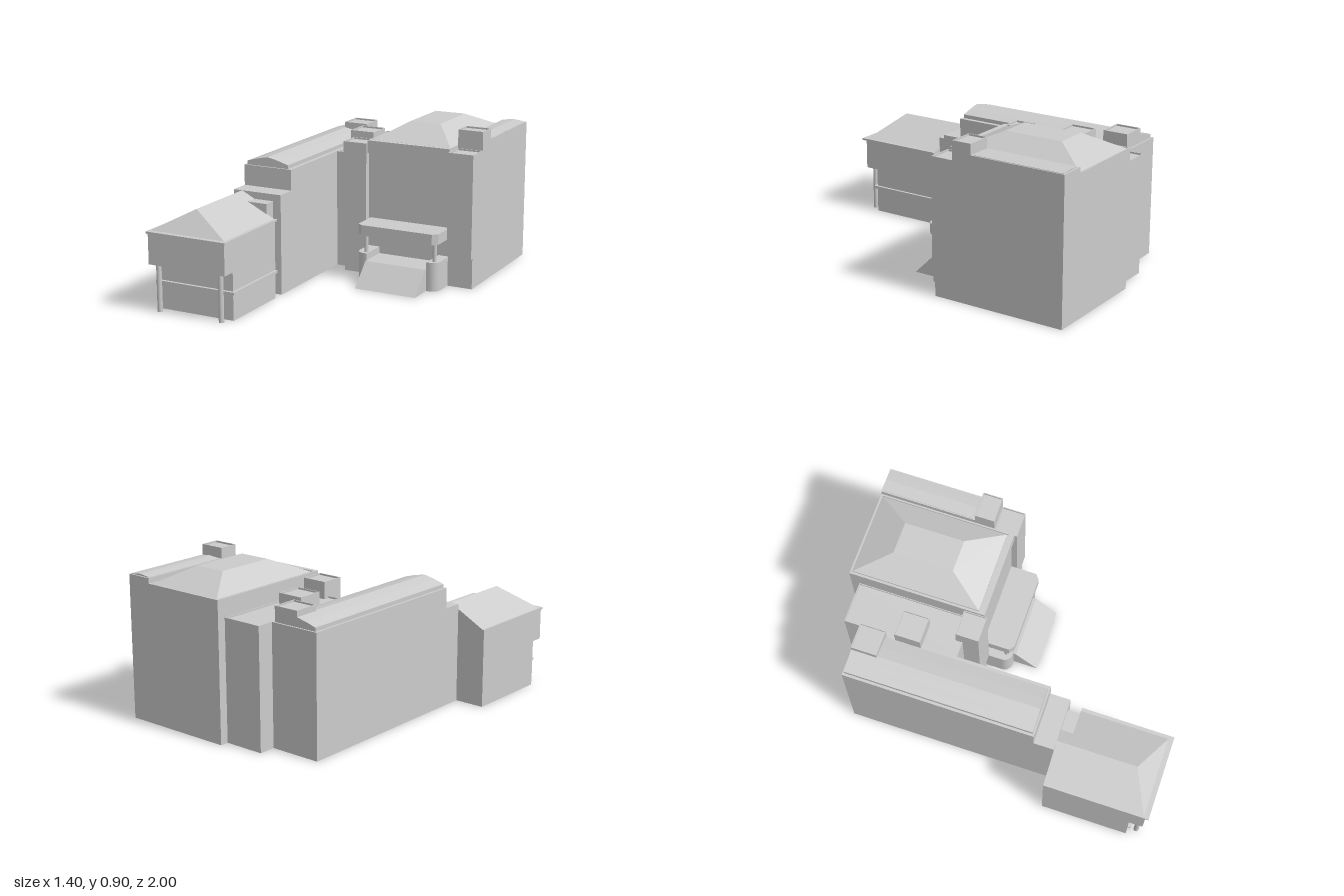
import * as THREE from 'three';
import { ConvexGeometry } from 'three/addons/geometries/ConvexGeometry.js';

const material = new THREE.MeshStandardMaterial({ color: 0xcccccc, flatShading: true, side: THREE.DoubleSide });
const smooth = new THREE.MeshStandardMaterial({ color: 0xcccccc });

// Leave out the horizontal faces lying at the given heights
function openAt(geometry, heights) {
  const source = geometry.index ? geometry.toNonIndexed() : geometry;
  const p = source.attributes.position;
  const kept = [];
  for (let i = 0; i < p.count; i += 3) {
    const corners = [i, i + 1, i + 2];
    const dropped = heights.some((h) => corners.every((c) => Math.abs(p.getY(c) - h) < 1e-4));
    if (!dropped) for (const c of corners) kept.push(p.getX(c), p.getY(c), p.getZ(c));
  }
  const result = new THREE.BufferGeometry();
  result.setAttribute('position', new THREE.Float32BufferAttribute(kept, 3));
  result.computeVertexNormals();
  return result;
}

const rect = (x0, x1, z0, z1) => [[x0, z0], [x1, z0], [x1, z1], [x0, z1]];

export function createModel() {
  const model = new THREE.Group();

  function add(name, geometry, mat = material) {
    const mesh = new THREE.Mesh(geometry, mat);
    mesh.name = name;
    model.add(mesh);
  }

  // Box given by its limits on each axis
  function block(name, x0, x1, y0, y1, z0, z1, open = []) {
    const g = new THREE.BoxGeometry(x1 - x0, y1 - y0, z1 - z0);
    g.translate((x0 + x1) / 2, (y0 + y1) / 2, (z0 + z1) / 2);
    add(name, openAt(g, open));
  }

  // Solid hull around a few corner points
  function hull(name, points, open = []) {
    add(name, openAt(new ConvexGeometry(points.map((p) => new THREE.Vector3(...p))), open));
  }

  // Footprint of [x, z] points raised from y0 to y1
  function raise(name, points, y0, y1, open = [], hole = null) {
    const toV = ([x, z]) => new THREE.Vector2(x, -z);
    const shape = new THREE.Shape(points.map(toV));
    if (hole) shape.holes.push(new THREE.Path(hole.map(toV)));
    const g = new THREE.ExtrudeGeometry(shape, { depth: y1 - y0, bevelEnabled: false });
    g.rotateX(-Math.PI / 2);
    g.translate(0, y0, 0);
    add(name, openAt(g, open));
  }

  // Open-bottomed block with a thin raised rim around its flat roof
  function rimmed(name, x0, x1, y0, y1, z0, z1, w = 0.005) {
    const h = 0.01;
    block(name, x0, x1, y0, y1 - h, z0, z1, [y0]);
    raise(name + 'Rim', rect(x0, x1, z0, z1), y1 - h, y1, [y1 - h],
      rect(x0 + w, x1 - w, z0 + w, z1 - w));
  }

  // Shallow roof running along z, two straight slopes with a slight break
  function vault(name, x0, x1, base, spring, crown, z0, z1) {
    const at = (t) => x0 + (x1 - x0) * t;
    const mid = spring + (crown - spring) * 0.58;
    const shape = new THREE.Shape();
    shape.moveTo(at(0), base);
    for (const [t, y] of [[1, base], [1, spring], [0.75, mid], [0.5, crown], [0.25, mid], [0, spring]]) {
      shape.lineTo(at(t), y);
    }
    const g = new THREE.ExtrudeGeometry(shape, { depth: z1 - z0, bevelEnabled: false });
    g.translate(0, 0, z0);
    add(name, openAt(g, [base]));
  }

  // Outer walls shared by hall, link and long wing, hollow and open below
  const wallTop = 0.58;
  raise('outerWalls', [
    [-0.52, -0.85], [-0.215, -0.85], [-0.215, -0.95], [0.027, -0.95], [0.027, -1], [0.697, -1],
    [0.697, -0.203], [0.545, -0.203], [0.545, -0.22], [0.027, -0.22], [0.027, -0.203],
    [-0.123, -0.203], [-0.123, -0.28], [-0.215, -0.28], [-0.215, 0.388], [-0.52, 0.388],
  ], 0, wallTop, [0, wallTop]);

  // Main hall with projecting top band and hipped roof
  rimmed('mainHall', 0.027, 0.545, wallTop, 0.805, -1, -0.22, 0.01);
  block('mainHallBand', 0.027, 0.545, 0.73, 0.805, -0.22, -0.2);
  const hip = [];
  for (const [x, z] of rect(0.045, 0.533, -0.988, -0.24)) hip.push([x, 0.795, z], [x, 0.803, z]);
  for (const [x, z] of rect(0.19, 0.38, -0.79, -0.44)) hip.push([x, 0.892, z]);
  hull('mainRoof', hip, [0.795]);

  // Side strip with a shallow roof, stair tower and front corners
  block('sideStrip', 0.545, 0.697, wallTop, 0.835, -1, -0.435, [wallTop]);
  vault('sideStripRoof', 0.552, 0.69, 0.835, 0.837, 0.845, -0.99, -0.45);
  rimmed('stairTower', 0.545, 0.697, wallTop, 0.897, -0.435, -0.32);
  for (const [side, x0, x1] of [['left', 0.545, 0.697], ['right', -0.123, 0.027]]) {
    block(side + 'CornerFacing', x0, x1, 0.18, wallTop, -0.203, -0.185, [wallTop]);
    rimmed(side + 'Corner', x0, x1, wallTop, 0.788, -0.32, -0.185);
  }

  // Link between hall and long wing, with rooftop boxes
  rimmed('linkBlock', -0.215, 0.027, wallTop, 0.7, -0.95, -0.28);
  rimmed('linkRooftopBox', -0.232, -0.078, 0.69, 0.788, -0.64, -0.488);
  rimmed('wingRooftopBox', -0.38, -0.228, 0.69, 0.788, -0.84, -0.69);

  // Long wing
  block('longWing', -0.52, -0.215, wallTop, 0.7, -0.85, 0.27, [wallTop]);
  block('longWingEndRoof', -0.52, -0.215, wallTop - 0.004, wallTop, 0.27, 0.388);
  vault('longWingRoof', -0.505, -0.24, 0.7, 0.722, 0.755, -0.84, 0.26);

  // Pavilion: lower storey, ledge, overhanging upper storey, eaves
  const notched = (x1, z1) => [[-0.7, 0.388], [-0.385, 0.388], [-0.385, 0.455],
    [x1, 0.455], [x1, z1], [-0.7, z1]];
  raise('pavilionLower', notched(-0.215, 0.9), 0, 0.27, [0, 0.27]);
  block('pavilionLedge', -0.7, -0.2, 0.15, 0.165, 0.455, 0.917);
  raise('pavilionUpper', notched(-0.215, 0.98), 0.27, 0.448, [0.448]);
  raise('pavilionEaves', notched(-0.2, 1), 0.448, 0.46);
  block('pavilionConnector', -0.39, -0.265, 0, 0.54, 0.385, 0.46, [0]);

  // Pavilion roof: hipped at the front, gabled at the back
  const eave = 0.46, ridge = 0.58, ridgeX = -0.465;
  const slopeY = ridge - (ridge - eave) * (-0.385 - ridgeX) / (-0.22 - ridgeX);
  hull('pavilionRoof', [
    [-0.69, eave, 0.455], [-0.22, eave, 0.455], [-0.22, eave, 0.97], [-0.69, eave, 0.97],
    [ridgeX, ridge, 0.455], [ridgeX, ridge, 0.855]], [eave]);
  hull('pavilionRoofBack', [0.388, 0.455].flatMap((z) => [
    [-0.69, eave, z], [-0.385, eave, z], [-0.385, slopeY, z], [ridgeX, ridge, z]]), [eave]);

  // Round posts
  function post(name, x, z, r, y0, y1) {
    const g = new THREE.CylinderGeometry(r, r, y1 - y0, 16);
    g.translate(x, (y0 + y1) / 2, z);
    add(name, g, smooth);
  }
  for (const x of [-0.655, -0.26]) post('pavilionPost', x, 0.95, 0.015, 0, 0.27);

  // Entrance: floor and ramp
  block('entranceFloor', 0.098, 0.477, 0, 0.13, -0.22, -0.04, [0]);
  hull('entranceRamp', [0.098, 0.477].flatMap((x) => [[x, 0, 0.092], [x, 0.13, -0.04], [x, 0, -0.04]]), [0]);

  // Plinths beside the ramp, rounded at the outer front corner
  for (const [side, outer, inner] of [['right', 0.027, 0.098], ['left', 0.545, 0.477]]) {
    const r = 0.05, inward = Math.sign(inner - outer);
    const outline = [[outer, -0.22], [inner, -0.22], [inner, -0.055]];
    for (let i = 0; i <= 8; i++) {
      const a = (i / 8) * Math.PI / 2;
      outline.push([outer + inward * r * (1 - Math.sin(a)), -0.055 - r * (1 - Math.cos(a))]);
    }
    raise(side + 'EntrancePlinth', outline.map(([x, z]) => [x, z]), 0, 0.17, [0]);
  }

  // Canopy with cut corners on two columns
  raise('entranceCanopy', [[0.04, -0.22], [0.545, -0.22], [0.545, -0.065], [0.516, -0.04],
    [0.07, -0.04], [0.04, -0.065]], 0.279, 0.341);
  for (const x of [0.077, 0.512]) post('canopyColumn', x, -0.092, 0.012, 0.17, 0.28);

  return model;
}
